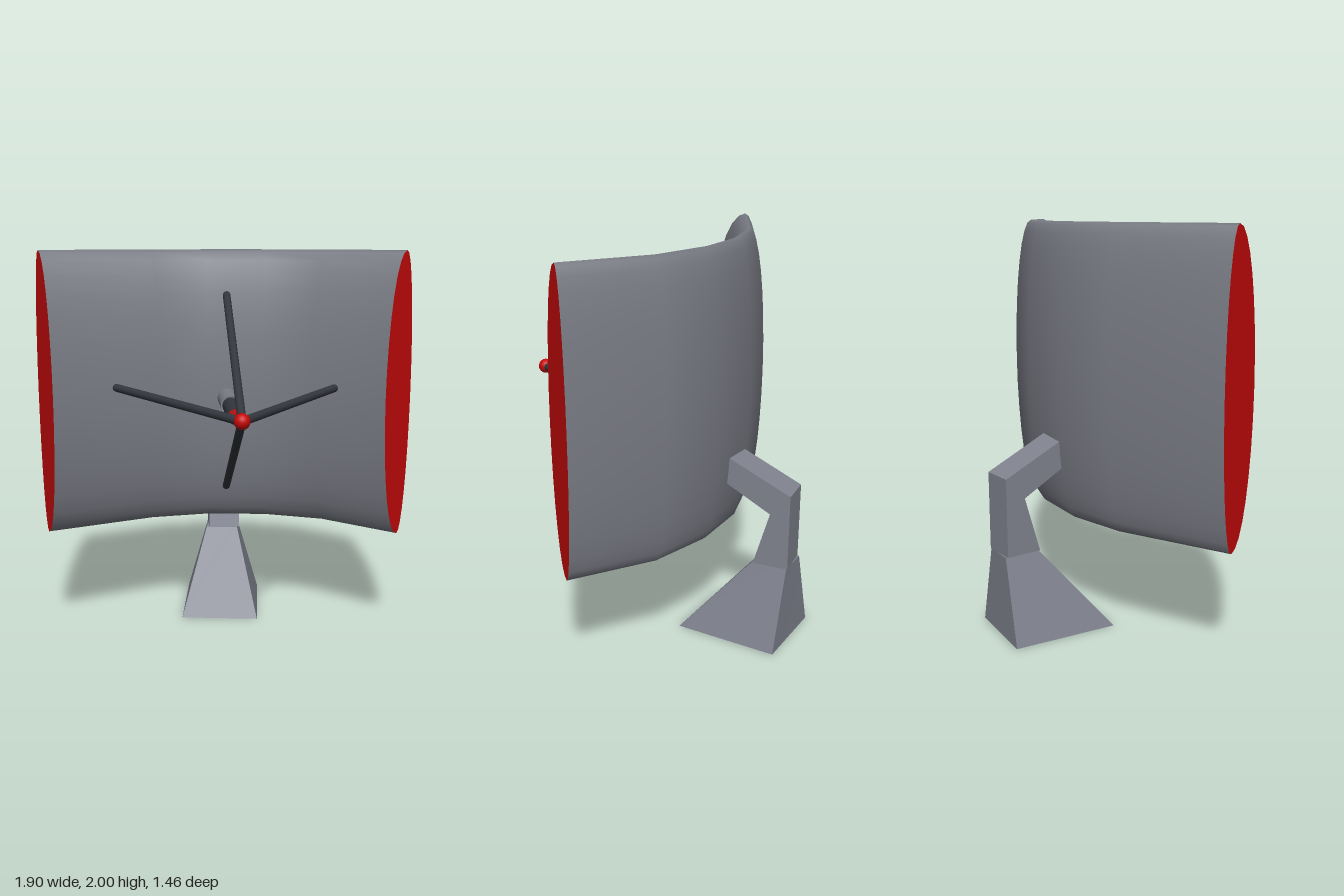
import * as THREE from 'three';

const mat = (name, color) => Object.assign(new THREE.MeshStandardMaterial({ color }), { name });

export function createModel() {
  const group = new THREE.Group();
  const dishGrey = mat('dish grey', 0x7b7d86);
  const standGrey = mat('stand grey', 0x80838f);
  const dark = mat('dark steel', 0x33363d);
  const red = mat('red', 0xc80808);

  const add = (name, geometry, material, x = 0, y = 0, z = 0) => {
    const mesh = new THREE.Mesh(geometry, material);
    mesh.name = name;
    mesh.position.set(x, y, z);
    group.add(mesh);
    return mesh;
  };

  // Curved reflector: stations of [front x, front z, back x, back z]
  const stations = [
    [-0.85, 0.107, -0.95, -0.16], [-0.33, -0.128, -0.4, -0.372], [-0.06, -0.178, -0.075, -0.423],
    [0.2, -0.153, 0.265, -0.388], [0.46, -0.046, 0.587, -0.27], [0.775, 0.215, 0.947, 0.03],
  ];
  const N = 32;
  // Lens-like section whose edge sits 35% of the way from back to front
  const section = ([fx, fz, bx, bz]) => Array.from({ length: N }, (_, j) => {
    const t = (j / N) * Math.PI * 2, c = Math.cos(t);
    const k = 0.35 + (c > 0 ? 0.65 : 0.35) * c;
    return new THREE.Vector3(bx + (fx - bx) * k, 1.28 + 0.72 * Math.sin(t), bz + (fz - bz) * k);
  });
  const rings = stations.map(section);
  const index = [];
  for (let i = 0; i < rings.length - 1; i++) {
    for (let j = 0; j < N; j++) {
      const a = i * N + j, d = i * N + ((j + 1) % N);
      index.push(a, a + N, d, a + N, d + N, d);
    }
  }
  const shell = new THREE.BufferGeometry().setFromPoints(rings.flat());
  shell.setIndex(index);
  shell.computeVertexNormals();
  add('reflector', shell, dishGrey);

  // Red end caps
  const cap = (name, ring, flip) => {
    const g = new THREE.BufferGeometry().setFromPoints(ring);
    const idx = [];
    for (let j = 1; j < N - 1; j++) idx.push(0, flip ? j + 1 : j, flip ? j : j + 1);
    g.setIndex(idx);
    g.computeVertexNormals();
    add(name, g, red);
  };
  cap('rightEndCap', rings[0], false);
  cap('leftEndCap', rings[rings.length - 1], true);

  // Feed struts meeting at the focus
  const focus = new THREE.Vector3(0.025, 1.275, 0.69);
  const up = new THREE.Vector3(0, 1, 0);
  const ends = {
    topStrut: [0.025, 1.77, -0.21], bottomStrut: [0.025, 0.75, -0.22],
    rightStrut: [-0.545, 1.32, -0.025], leftStrut: [0.56, 1.315, 0.025],
  };
  for (const [name, p] of Object.entries(ends)) {
    const end = new THREE.Vector3(...p);
    const dir = end.clone().sub(focus);
    const strut = add(name, new THREE.CapsuleGeometry(0.02, dir.length(), 4, 12), dark);
    strut.position.copy(focus).add(end).multiplyScalar(0.5);
    strut.quaternion.setFromUnitVectors(up, dir.normalize());
  }
  add('focusBall', new THREE.SphereGeometry(0.037, 20, 14), red, focus.x, focus.y, focus.z);

  // Feed horn
  const tube = (name, r, z0, z1, material) =>
    add(name, new THREE.CylinderGeometry(r, r, z1 - z0, 20).rotateX(Math.PI / 2), material, 0.025, 1.238, (z0 + z1) / 2);
  tube('hornSleeve', 0.05, -0.25, 0.06, dishGrey);
  tube('hornBarrel', 0.041, 0.05, 0.368, dark);
  tube('hornTip', 0.036, 0.364, 0.372, red);

  // Bent arm behind the reflector, profile as [z, y]
  const profile = [[-0.53, 0.42], [-0.61, 0.7], [-0.4, 0.815], [-0.36, 0.84], [-0.36, 0.975], [-0.42, 0.947], [-0.71, 0.81], [-0.71, 0.42]];
  const armShape = new THREE.Shape(profile.map(([z, y]) => new THREE.Vector2(-z, y)));
  const arm = new THREE.ExtrudeGeometry(armShape, { depth: 0.172, bevelEnabled: false }).rotateY(Math.PI / 2);
  add('arm', arm, standGrey, -0.049, 0, 0);

  // Slightly turned tapering foot: corners [x, z] in order back right, back left, front right, front left
  const low = [[-0.163, -0.738], [0.247, -0.69], [-0.22, -0.21], [0.19, -0.16]];
  const high = [[-0.045, -0.72], [0.125, -0.705], [-0.065, -0.54], [0.11, -0.525]];
  const foot = new THREE.BoxGeometry(1, 1, 1);
  const pos = foot.attributes.position;
  for (let i = 0; i < pos.count; i++) {
    const top = pos.getY(i) > 0;
    const [x, z] = (top ? high : low)[(pos.getX(i) > 0 ? 1 : 0) + (pos.getZ(i) > 0 ? 2 : 0)];
    pos.setXYZ(i, x, top ? 0.42 : 0, z);
  }
  foot.computeVertexNormals();
  add('foot', foot, standGrey);

  return group;
}
